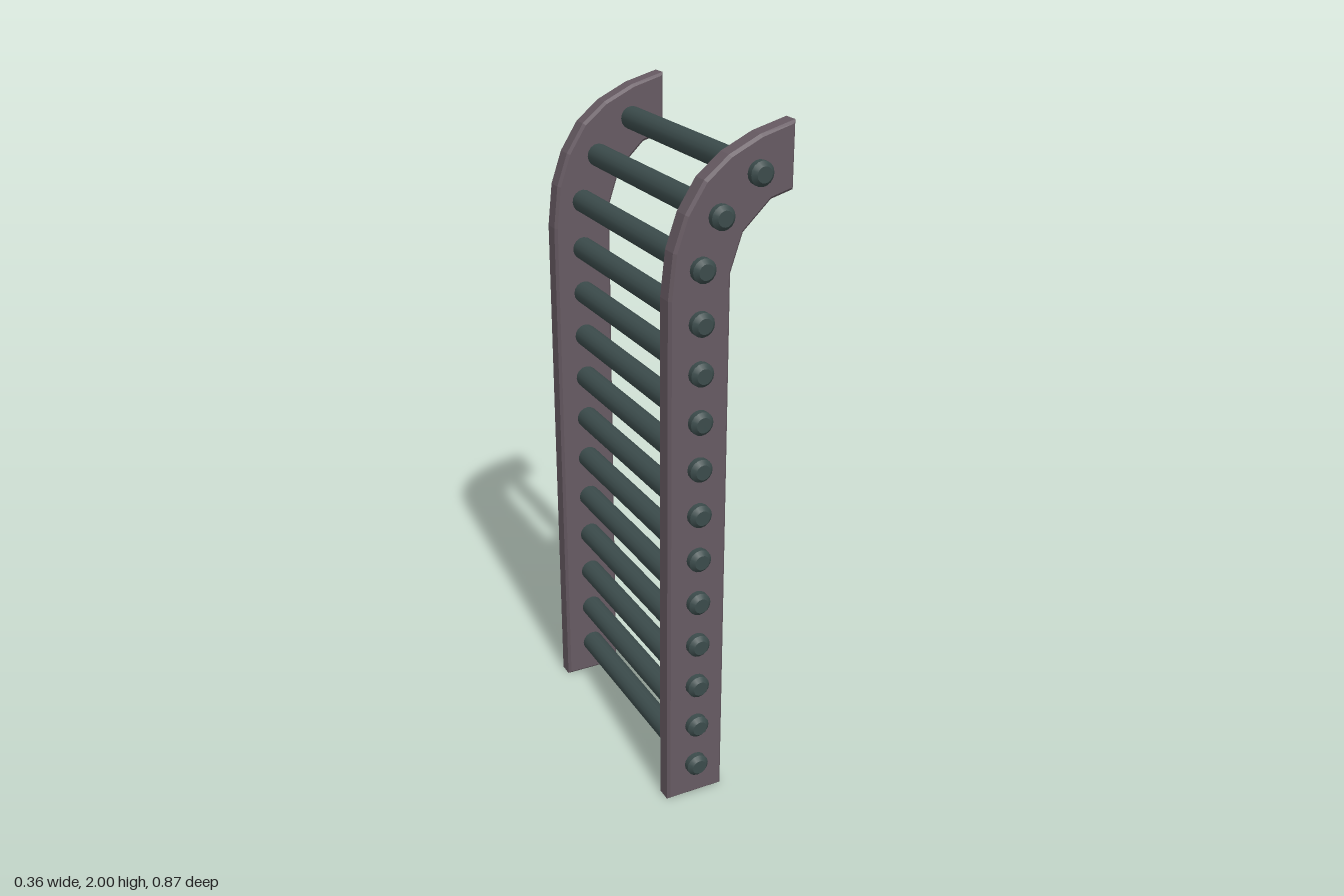
import * as THREE from 'three';

export function createModel() {
  const model = new THREE.Group();
  const railMaterial = new THREE.MeshStandardMaterial({ color: 0x665a62 });
  const rungMaterial = new THREE.MeshStandardMaterial({ color: 0x3b4b4b });

  // Side rails: a straight post whose top curls over toward +x
  const outline = [
    [-0.18, 0], [0, 0], [0, 1.62], [0.035, 1.725], [0.115, 1.802], [0.18, 1.82],
    [0.18, 2], [0.08, 1.973], [-0.01, 1.93], [-0.08, 1.873], [-0.133, 1.79],
    [-0.166, 1.695], [-0.18, 1.57],
  ];
  const railShape = new THREE.Shape(outline.map(([x, y]) => new THREE.Vector2(x, y)));
  const railThickness = 0.06, bevel = 0.008;
  const railGeometry = new THREE.ExtrudeGeometry(railShape, {
    depth: railThickness - 2 * bevel,
    bevelEnabled: true,
    bevelThickness: bevel,
    bevelSize: bevel,
    bevelOffset: -bevel,
    bevelSegments: 1,
  });
  railGeometry.translate(0, 0, bevel - railThickness / 2);
  for (const [name, z] of [['frontRail', 0.373], ['backRail', -0.373]]) {
    const rail = new THREE.Mesh(railGeometry, railMaterial);
    rail.name = name;
    rail.position.z = z;
    model.add(rail);
  }

  // Rungs: round bars with chamfered ends, passing through both rails
  const r = 0.034, half = 0.433, c = 0.012;
  const rungBody = [
    [0, -half], [r - c, -half], [r - c, -half], [r, c - half], [r, c - half],
    [r, half - c], [r, half - c], [r - c, half], [r - c, half], [0, half],
  ].map(([x, y]) => new THREE.Vector2(x, y));
  const rungGeometry = new THREE.LatheGeometry(rungBody, 16);
  rungGeometry.rotateX(Math.PI / 2);

  // Even spacing up the post, then three following the curve
  const centres = [];
  for (let i = 0; i < 11; i++) centres.push([-0.09, 0.11 + i * 0.139]);
  centres.push([-0.088, 1.645], [-0.036, 1.777], [0.074, 1.877]);
  centres.forEach(([x, y], i) => {
    const rung = new THREE.Mesh(rungGeometry, rungMaterial);
    rung.name = `rung${i + 1}`;
    rung.position.set(x, y, 0);
    model.add(rung);
  });

  return model;
}
